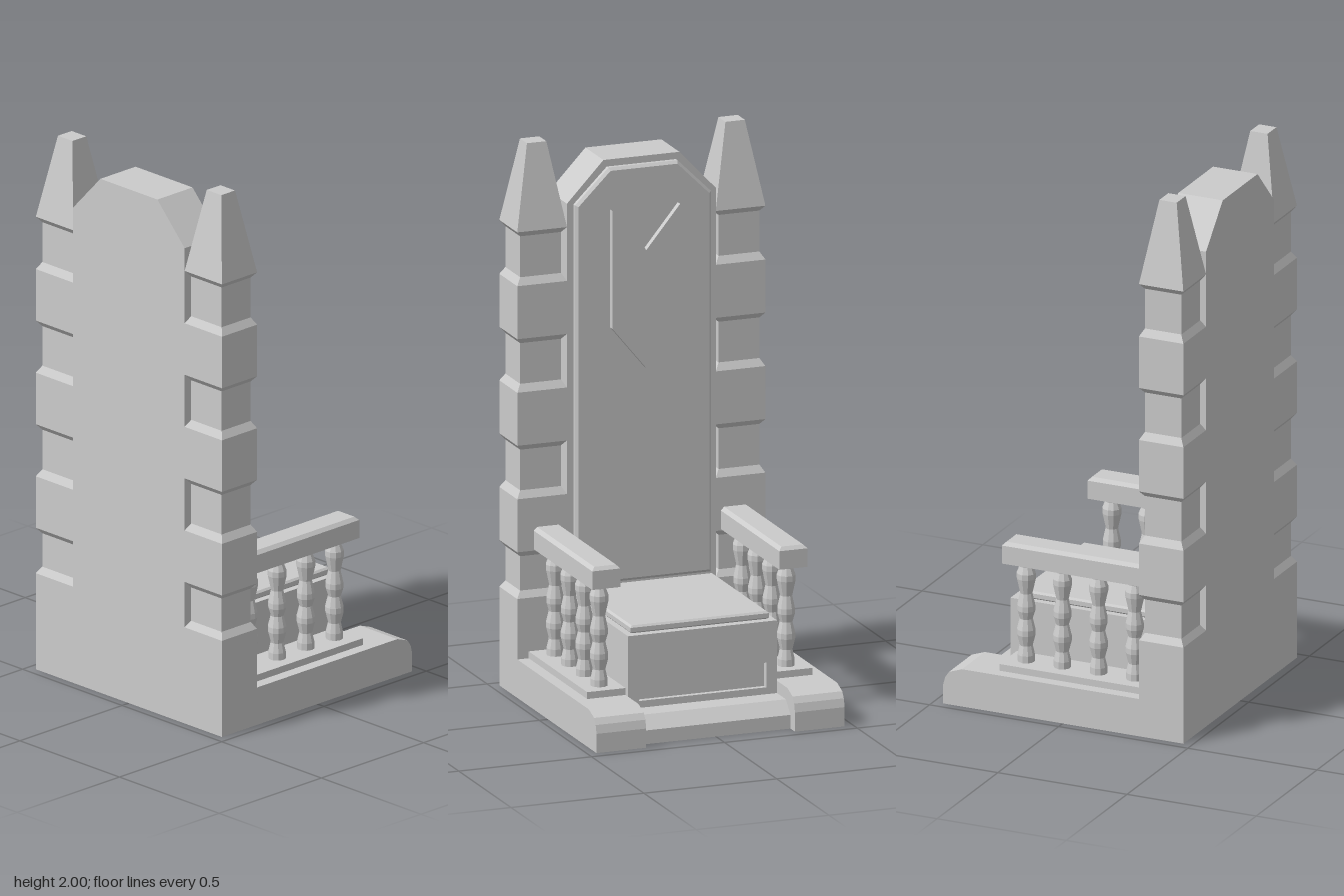
import * as THREE from 'three';

const material = new THREE.MeshStandardMaterial({ color: 0xcccccc, flatShading: true });

function add(parent, name, geometry, x = 0, y = 0, z = 0) {
  const mesh = new THREE.Mesh(geometry, material);
  mesh.name = name;
  mesh.position.set(x, y, z);
  parent.add(mesh);
  return mesh;
}

// Box given by its minimum and maximum corners
function box(parent, name, [x0, y0, z0], [x1, y1, z1]) {
  return add(parent, name, new THREE.BoxGeometry(x1 - x0, y1 - y0, z1 - z0),
    (x0 + x1) / 2, (y0 + y1) / 2, (z0 + z1) / 2);
}

const shapeOf = (points) => new THREE.Shape(points.map(([a, b]) => new THREE.Vector2(a, b)));

// Outline in x and y, extruded along z
const extrudeZ = (points, z0, z1) =>
  new THREE.ExtrudeGeometry(shapeOf(points), { depth: z1 - z0, bevelEnabled: false }).translate(0, 0, z0);

// Slab with chamfered front edges: the outline is the full size and the back lies at zero
function chamferedSlab(points, depth, bevel) {
  return new THREE.ExtrudeGeometry(shapeOf(points), {
    depth: depth - 2 * bevel, bevelEnabled: bevel > 0, bevelSize: bevel, bevelThickness: bevel,
    bevelOffset: -bevel, bevelSegments: 1,
  }).translate(0, 0, bevel);
}

const rectangle = (a0, b0, a1, b1) => [[a0, b0], [a1, b0], [a1, b1], [a0, b1]];

// Outline with clipped upper corners
const clipped = (half, bottom, shoulder, topHalf, top) =>
  [[-half, bottom], [half, bottom], [half, shoulder], [topHalf, top], [-topHalf, top], [-half, shoulder]];

// Square column with block courses and a tapered spire
function pillarGeometry() {
  const half = 0.5, narrow = 0.41;
  const profile = [[0, 0], [half, 0], [half, 0.36], [narrow, 0.385]];
  for (const y of [0.53, 0.918, 1.306]) {
    profile.push([narrow, y - 0.02], [half, y], [half, y + 0.193], [narrow, y + 0.22]);
  }
  profile.push([narrow, 1.675], [half, 1.695], [0.195, 2], [0, 2]);
  const points = profile.map(([r, y]) => new THREE.Vector2(r * Math.SQRT2, y));
  return new THREE.LatheGeometry(points, 4).rotateY(Math.PI / 4).scale(0.172, 1, 0.187);
}

// Turned post with repeated bulges
function balusterGeometry() {
  const profile = [
    [0, 0.16], [0.031, 0.16], [0.031, 0.19], [0.023, 0.225], [0.033, 0.265], [0.033, 0.285],
    [0.023, 0.325], [0.032, 0.355], [0.032, 0.375], [0.022, 0.42], [0.034, 0.475],
    [0.034, 0.495], [0.024, 0.52], [0.026, 0.54], [0, 0.54],
  ];
  return new THREE.LatheGeometry(profile.map(([r, y]) => new THREE.Vector2(r, y)), 10);
}

export function createModel() {
  const throne = new THREE.Group();
  throne.name = 'throne';
  const pillar = pillarGeometry();
  const baluster = balusterGeometry();

  // Stepped plinth between the side bases
  add(throne, 'frontStep', extrudeZ(
    [[-0.465, 0], [0.42, 0], [0.42, 0.05], [0.375, 0.095], [-0.465, 0.095]], -0.28, 0.28));

  // Seat block with a recessed front panel
  box(throne, 'seatBlock', [-0.3, 0.09, -0.28], [0.27, 0.36, 0.28]);
  const frame = shapeOf(rectangle(-0.28, 0.09, 0.28, 0.36));
  frame.holes.push(new THREE.Path(rectangle(-0.24, 0.12, 0.24, 0.21).map(([a, b]) => new THREE.Vector2(a, b))));
  add(throne, 'seatFrontFrame',
    new THREE.ExtrudeGeometry(frame, { depth: 0.02, bevelEnabled: false }).rotateY(Math.PI / 2), 0.27);

  // Thin cushion
  add(throne, 'cushion',
    chamferedSlab(rectangle(-0.27, -0.26, 0.263, 0.26), 0.03, 0.007).rotateX(-Math.PI / 2), 0, 0.358);

  // Backrest, its raised panel and the pennant on it
  add(throne, 'backrest',
    chamferedSlab(clipped(0.28, 0, 1.78, 0.143, 1.925), 0.172, 0).rotateY(Math.PI / 2), -0.467);
  add(throne, 'backPanel',
    chamferedSlab(clipped(0.256, 0.39, 1.775, 0.13, 1.9), 0.035, 0.01).rotateY(Math.PI / 2), -0.305);
  add(throne, 'pennant', chamferedSlab(
    [[-0.127, 1.75], [-0.127, 1.32], [0, 1.165], [0.127, 1.32], [0.127, 1.75], [0, 1.595]],
    0.028, 0).rotateY(Math.PI / 2), -0.275);

  for (const side of [1, -1]) {
    const group = new THREE.Group();
    group.name = side > 0 ? 'leftSide' : 'rightSide';
    throne.add(group);
    const z = side * 0.3735, armZ = side * 0.352;

    add(group, 'pillar', pillar, -0.381, 0, z);
    add(group, 'sideBase', extrudeZ([[-0.4, 0], [0.463, 0], [0.463, 0.07], [0.455, 0.1],
      [0.44, 0.122], [0.39, 0.14], [-0.4, 0.14]], z - 0.0935, z + 0.0935));
    box(group, 'balusterPlate', [-0.3, 0.135, armZ - 0.072], [0.265, 0.165, armZ + 0.072]);

    // Arm rail with a chamfered top
    box(group, 'armRail', [-0.3, 0.535, armZ - 0.053], [0.265, 0.6, armZ + 0.053]);
    add(group, 'armRailCap', chamferedSlab(
      rectangle(-0.31, -0.053, 0.265, 0.053), 0.03, 0.0125).rotateX(-Math.PI / 2), 0, 0.585, armZ);

    for (let i = 0; i < 4; i++) add(group, 'baluster', baluster, -0.225 + i * 0.14, 0, armZ);
  }
  return throne;
}
